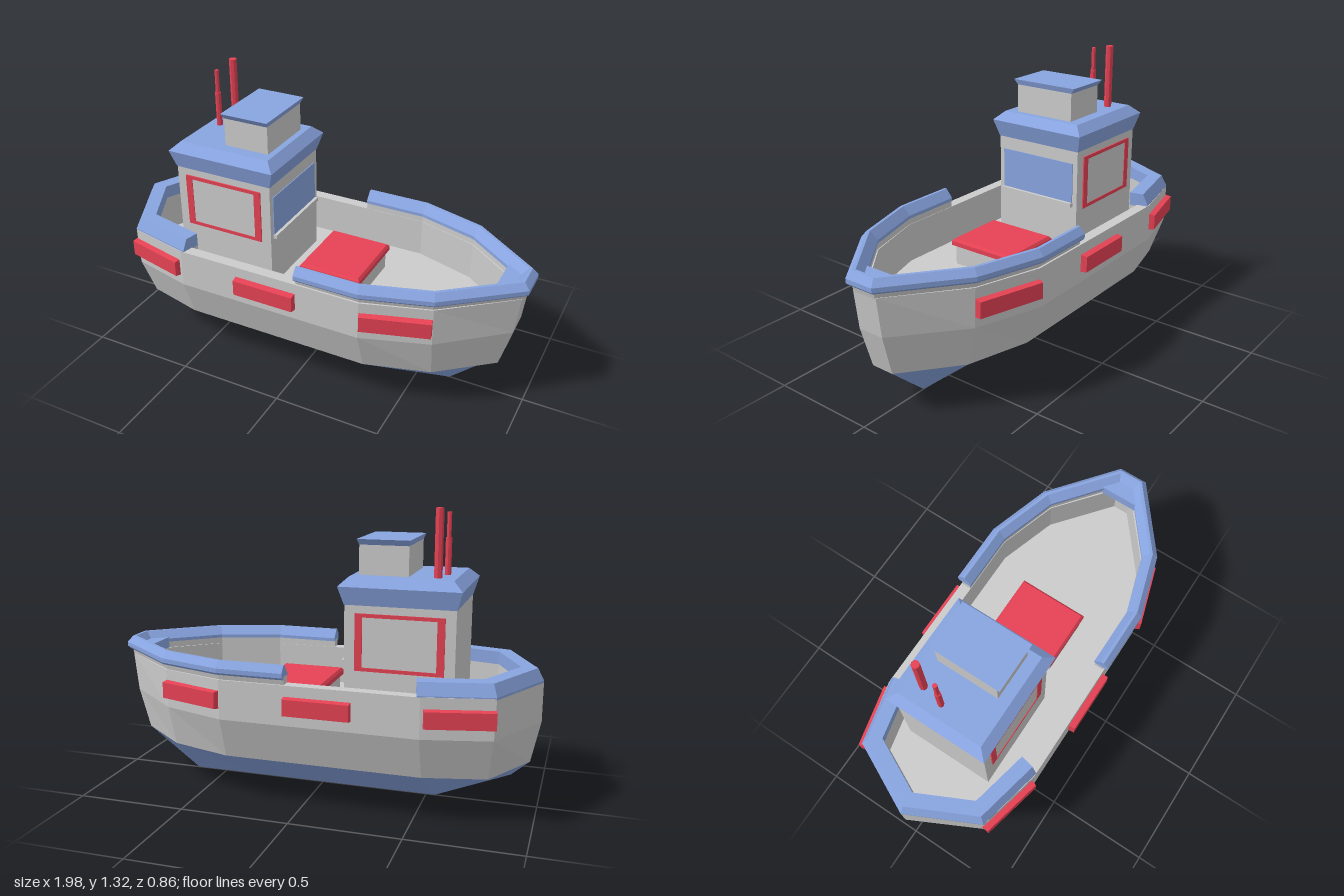
import * as THREE from 'three';

const material = (color) => new THREE.MeshStandardMaterial({ color, flatShading: true, side: THREE.DoubleSide });
const GREY = material(0xcccccc), BLUE = material(0x88a4e0), RED = material(0xe64254);

// Skin a list of closed rings of [x, y, z] points; optionally fill both ends
function loft(rings, capped) {
  const pos = [];
  const tri = (a, b, c) => pos.push(...a, ...b, ...c);
  for (let k = 0; k + 1 < rings.length; k++) {
    const a = rings[k], b = rings[k + 1], n = a.length;
    for (let i = 0; i < n; i++) {
      const j = (i + 1) % n;
      tri(a[i], b[i], b[j]);
      tri(a[i], b[j], a[j]);
    }
  }
  if (capped) for (const r of [[...rings[0]].reverse(), rings[rings.length - 1]]) {
    for (let i = 1; i + 1 < r.length; i++) tri(r[0], r[i], r[i + 1]);
  }
  const g = new THREE.BufferGeometry();
  g.setAttribute('position', new THREE.Float32BufferAttribute(pos, 3));
  g.computeVertexNormals();
  return g;
}

// Offset a plan path of [x, z] outward with mitred corners
function offset(path, d, closed) {
  const n = path.length;
  const normal = (p, q) => new THREE.Vector2(p[1] - q[1], q[0] - p[0]).normalize();
  return path.map((p, i) => {
    const prev = i > 0 ? path[i - 1] : closed ? path[n - 1] : null;
    const next = i < n - 1 ? path[i + 1] : closed ? path[0] : null;
    const a = normal(prev || p, prev ? p : next), b = normal(next ? p : prev, next || p);
    const m = a.clone().add(b).normalize();
    const s = d / m.dot(a);
    return [p[0] + m.x * s, p[1] + m.y * s];
  });
}

// Sweep a section of [outward, y] points along a plan path
function sweep(path, section, closed) {
  const lines = section.map(([d]) => offset(path, d, closed));
  const rings = path.map((_, i) => section.map(([, y], k) => [lines[k][i][0], y, lines[k][i][1]]));
  if (closed) rings.push(rings[0]);
  return loft(rings, !closed);
}

// Stack of rectangles: [y, x0, x1, half depth]
const stack = (levels) => loft(levels.map(([y, a, b, h]) => [[a, y, h], [b, y, h], [b, y, -h], [a, y, -h]]), true);

// Mirror a half outline (stern to bow, +z side) into a closed ring
const mirrorRing = (half) => [...half, ...half.slice(1).reverse().map((p) => [...p.slice(0, -1), -p[p.length - 1]])];

export function createModel() {
  const model = new THREE.Group();
  const add = (name, geometry, mat, x = 0, y = 0, z = 0, parent = model) => {
    const m = new THREE.Mesh(geometry, mat);
    m.name = name;
    m.position.set(x, y, z);
    parent.add(m);
    return m;
  };

  // Hull: one ring per height
  const half = [[-1, 0], [-0.84, 0.33], [-0.54, 0.4], [0.35, 0.4], [0.65, 0.305], [0.95, 0.063]];
  const atY = (y, pts) => mirrorRing(pts.map(([x, z]) => [x, y, z]));
  const top = atY(0.58, half);
  const belt = atY(0.4, [[-1, 0], [-0.835, 0.33], [-0.54, 0.4], [0.35, 0.4], [0.65, 0.3], [0.93, 0.063]]);
  const water = atY(0.21, [[-0.96, 0], [-0.81, 0.27], [-0.54, 0.335], [0.35, 0.335], [0.64, 0.25], [0.88, 0.055]]);
  const keel = mirrorRing([[-0.88, 0.14, 0], [-0.81, 0.111, 0], [-0.54, 0, 0], [0.35, 0, 0], [0.65, 0, 0], [0.77, 0.11, 0]]);
  add('upperHull', loft([top, belt, water]), GREY);
  add('lowerHull', loft([water, keel]), BLUE);

  // Bulwark thickness and sunken deck
  const outline = mirrorRing(half);
  add('bulwark', sweep(outline, [[0, 0.58], [-0.052, 0.58], [-0.052, 0.4]], true), GREY);
  const deck = new THREE.Shape(offset(outline, -0.05, true).map(([x, z]) => new THREE.Vector2(x, z)));
  add('deck', new THREE.ShapeGeometry(deck).rotateX(Math.PI / 2), GREY, 0, 0.4, 0);

  // Raised bow with its rail
  const side = [[0.05, 0.4], [0.35, 0.4], [0.65, 0.308], [0.96, 0.063]];
  const flip = (pts) => [...pts].reverse().map(([x, z]) => [x, -z]);
  const bow = [...side, ...flip(side)];
  add('bowWall', sweep(bow, [[-0.05, 0.575], [-0.01, 0.575], [0, 0.615], [-0.05, 0.615]]), GREY);
  add('bowRail', sweep(bow, [[-0.055, 0.61], [0.008, 0.605], [0.017, 0.615], [0.017, 0.635],
    [-0.008, 0.665], [-0.022, 0.665], [-0.055, 0.625]]), BLUE);
  add('bowPlate', loft([0.58, 0.632].map((y) => [[0.84, y, 0.11], [0.95, y, 0.04], [0.95, y, -0.04], [0.84, y, -0.11]]), true), BLUE);

  // Stern rail
  const stern = [[-0.525, -0.4], [-0.84, -0.33], [-1, 0], [-0.84, 0.33], [-0.525, 0.4]];
  add('sternRail', sweep(stern, [[-0.09, 0.575], [0, 0.575], [0, 0.585], [-0.025, 0.638], [-0.09, 0.638]]), BLUE);
  add('sternInnerWall', sweep(stern, [[-0.09, 0.4], [-0.04, 0.4], [-0.04, 0.578], [-0.09, 0.578]]), GREY);

  // Fenders on both sides
  const fender = new THREE.BoxGeometry(0.3, 0.085, 0.04);
  const fp = fender.attributes.position;
  for (let i = 0; i < fp.count; i++) {
    if (fp.getZ(i) > 0) fp.setXY(i, fp.getX(i) * 0.98, fp.getY(i) * 0.86);
  }
  for (const s of [1, -1]) {
    for (const [x, z, turn, len] of [[-0.7, 0.37, -0.23, 1], [-0.1, 0.41, 0, 1], [0.503, 0.36, 0.3, 1.04]]) {
      const f = add('fender', fender, RED, x, 0.49, s * z);
      f.rotation.y = s > 0 ? turn : Math.PI - turn;
      f.scale.x = len;
    }
  }

  // Cargo hatch
  add('hatchCoaming', new THREE.BoxGeometry(0.27, 0.1, 0.32), GREY, 0.1, 0.45, 0);
  add('hatchLid', stack([[0.495, -0.05, 0.25, 0.172], [0.515, -0.05, 0.25, 0.172], [0.527, -0.04, 0.24, 0.162]]), RED);

  // Wheelhouse
  const cabin = new THREE.Group();
  cabin.name = 'wheelhouse';
  cabin.position.z = -0.004;
  model.add(cabin);
  const put = (name, geometry, mat, x, y, z) => add(name, geometry, mat, x, y, z, cabin);
  put('cabinWalls', stack([[0.4, -0.65, -0.168, 0.222], [0.915, -0.65, -0.168, 0.222]]), GREY);
  put('cabinRoof', stack([[0.91, -0.652, -0.166, 0.224], [0.99, -0.675, -0.142, 0.246], [1.03, -0.632, -0.183, 0.204]]), BLUE);
  put('frontWindow', new THREE.BoxGeometry(0.006, 0.19, 0.395), BLUE, -0.167, 0.755, 0);
  put('windowSill', new THREE.BoxGeometry(0.02, 0.02, 0.4), GREY, -0.159, 0.652, 0);

  // Side windows: raised frame around a flush pane
  const rect = (T, w, h) => new T([[-w, -h], [w, -h], [w, h], [-w, h]].map(([x, y]) => new THREE.Vector2(x, y)));
  const frame = rect(THREE.Shape, 0.195, 0.126);
  frame.holes.push(rect(THREE.Path, 0.162, 0.11));
  const frameGeo = new THREE.ExtrudeGeometry(frame, { depth: 0.012, bevelEnabled: false });
  for (const s of [1, -1]) {
    put('windowFrame', frameGeo, RED, -0.41, 0.75, s * 0.222 - 0.006);
    put('windowPane', new THREE.BoxGeometry(0.325, 0.222, 0.006), GREY, -0.41, 0.75, s * 0.222);
  }

  // Upper box and its cap
  put('upperBox', stack([[1.025, -0.43, -0.212, 0.15], [1.165, -0.43, -0.212, 0.15]]), GREY);
  put('upperCap', stack([[1.16, -0.43, -0.212, 0.151], [1.185, -0.438, -0.204, 0.168]]), BLUE);

  // Masts on the roof
  put('tallMast', new THREE.CylinderGeometry(0.018, 0.018, 0.3, 8), RED, -0.552, 1.172, -0.133);
  put('shortMastBase', new THREE.CylinderGeometry(0.014, 0.014, 0.17, 8), RED, -0.575, 1.105, -0.03);
  put('shortMastTip', new THREE.CylinderGeometry(0.01, 0.01, 0.11, 8), RED, -0.575, 1.243, -0.03);
  return model;
}
